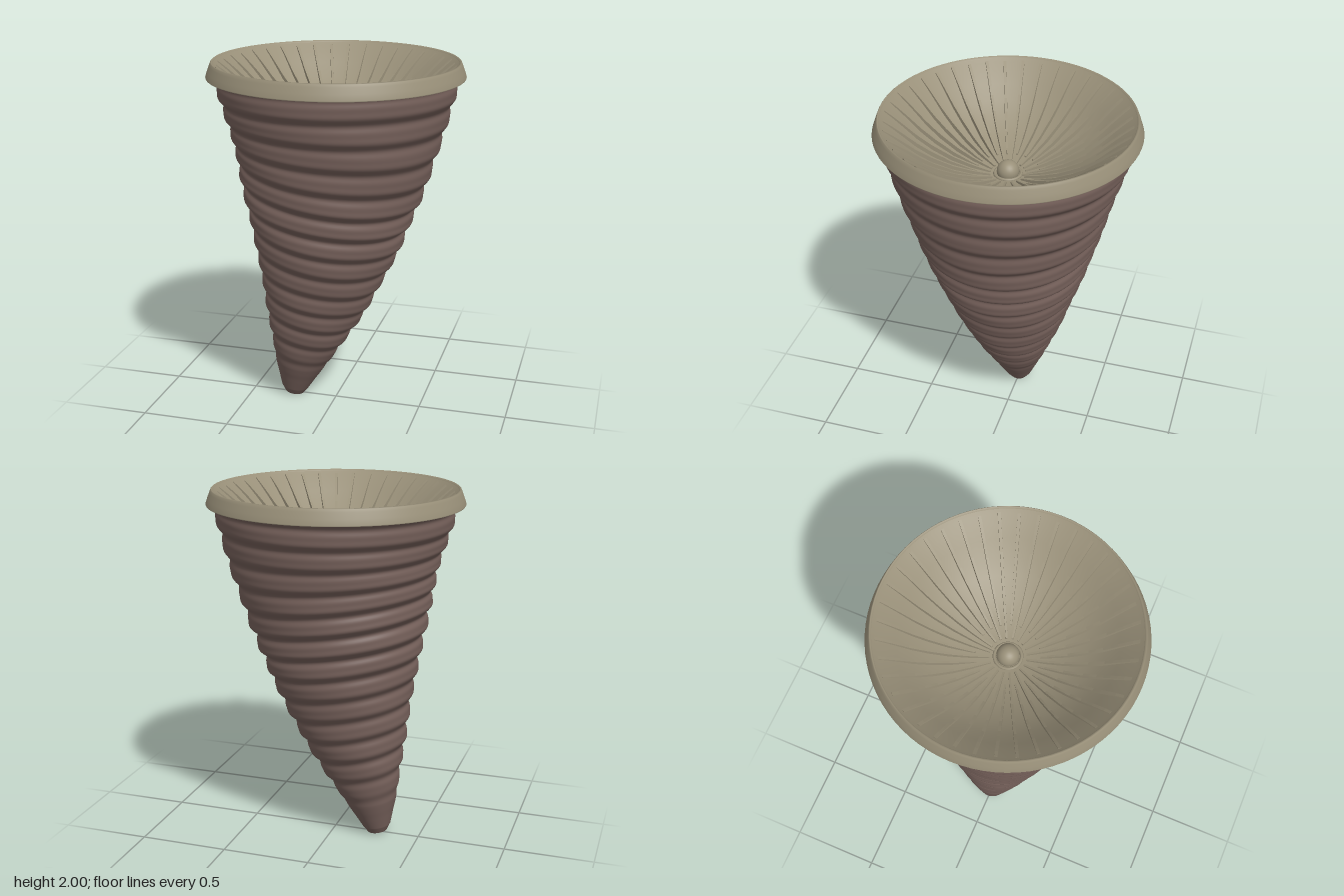
import * as THREE from 'three';
import { ParametricGeometry } from 'three/addons/geometries/ParametricGeometry.js';

const skin = new THREE.MeshStandardMaterial({ color: 0x75605a });
const chalk = new THREE.MeshStandardMaterial({ color: 0x999079 });

// Linear lookup in a list of [key, value...] rows
function sample(rows, key, col) {
  let i = 1;
  while (i < rows.length - 1 && rows[i][0] < key) i++;
  const a = rows[i - 1], b = rows[i];
  return THREE.MathUtils.lerp(a[col], b[col], THREE.MathUtils.clamp((key - a[0]) / (b[0] - a[0]), 0, 1));
}

// Horn outline: height, axis x, radius
const HORN = [
  [0, -0.255, 0.055], [0.04, -0.25, 0.08], [0.2, -0.215, 0.145], [0.4, -0.165, 0.217],
  [0.6, -0.12, 0.288], [0.8, -0.085, 0.35], [1, -0.057, 0.412], [1.2, -0.042, 0.468],
  [1.4, -0.018, 0.522], [1.6, 0, 0.577], [1.8, 0.003, 0.634], [1.93, 0.005, 0.668],
];

// Wrinkled, bent horn with growth rings square to its leaning axis
function hornPoint(u, v, target) {
  const a = u * Math.PI * 2;
  const t = Math.max(0, (v - 0.01) / 0.99);
  const h = t * 1.93;
  const fade = THREE.MathUtils.smoothstep(h, 0.08, 0.5);
  const phase = h * Math.PI * 2 / 0.128 + 0.5 * Math.sin(a + h * 3);
  const ripple = Math.sin(phase) + 0.3 * Math.sin(2 * phase + 0.6);
  const strong = 0.009 + 0.004 * Math.exp(-(((h - 1.2) / 0.2) ** 2));
  const lumps = 0.003 * Math.sin(3 * a + h * 7) * Math.sin(h * 9 + a);
  let r = sample(HORN, h, 2) + fade * (strong * ripple + lumps);
  if (v < 0.005) r = 0;
  const tilt = 0.16 * (1 - THREE.MathUtils.smoothstep(h, 1.2, 1.9));
  const dx = r * Math.cos(a);
  const lift = 0.01 * (1 - t);
  target.set(sample(HORN, h, 1) + dx, Math.max(0, h + lift - tilt * dx), -r * Math.sin(a));
}

// Bowl of the cup: radius, height
const BOWL = [
  [0, 1.645], [0.1, 1.65], [0.2, 1.672], [0.3, 1.708], [0.4, 1.765],
  [0.48, 1.825], [0.55, 1.892], [0.6, 1.938], [0.64, 1.972], [0.66, 1.99],
];
const bowlY = (r) => sample(BOWL, r, 1);

function lathe(name, points) {
  const g = new THREE.LatheGeometry(points.map(([x, y]) => new THREE.Vector2(x, y)), 80);
  const mesh = new THREE.Mesh(g, chalk);
  mesh.name = name;
  return mesh;
}

// Thin radial blade following the bowl, tapering to both ends
function septumGeometry(inner, outer) {
  const g = new THREE.BoxGeometry(1, 1, 1, 14, 1, 1).toNonIndexed();
  const p = g.attributes.position;
  for (let i = 0; i < p.count; i++) {
    const s = p.getX(i) + 0.5;
    const r = THREE.MathUtils.lerp(inner, outer, s);
    const top = p.getY(i) > 0;
    const height = 0.006 + 0.02 * Math.sin(Math.PI * Math.min(1, s * 0.95 + 0.04));
    const width = THREE.MathUtils.lerp(0.012, 0.02, s) * (top ? 0.8 : 1);
    p.setXYZ(i, r, bowlY(r) + (top ? height : -0.02), p.getZ(i) * width);
  }
  g.computeVertexNormals();
  return g;
}

export function createModel() {
  const model = new THREE.Group();
  model.name = 'hornCoral';

  const horn = new THREE.Mesh(new ParametricGeometry(hornPoint, 72, 260), skin);
  horn.name = 'horn';
  model.add(horn);

  // Flared collar with a rounded top edge
  const collar = lathe('collar', [
    [0.63, 1.915], [0.698, 1.915], [0.698, 1.915], [0.7, 1.92], [0.69, 1.95], [0.678, 1.982],
    [0.672, 1.996], [0.667, 2], [0.66, 1.99], [0.65, 1.978],
  ]);
  model.add(collar);

  // Inside of the cup, drawn from rim to centre so it faces up
  const bowl = lathe('bowl', [...BOWL].reverse());
  model.add(bowl);

  // Forty septa, alternately long and short
  const septa = new THREE.Group();
  septa.name = 'septa';
  const long = septumGeometry(0.095, 0.645);
  const short = septumGeometry(0.165, 0.64);
  for (let i = 0; i < 40; i++) {
    const blade = new THREE.Mesh(i % 2 ? long : short, chalk);
    blade.name = 'septum';
    blade.rotation.y = (i / 40) * Math.PI * 2;
    septa.add(blade);
  }
  const main = new THREE.Mesh(septumGeometry(0.075, 0.645), chalk);
  main.name = 'mainSeptum';
  main.rotation.y = Math.PI / 2;
  septa.add(main);
  model.add(septa);

  // Central knob and the low ring round it
  const knob = new THREE.Mesh(new THREE.SphereGeometry(0.06, 28, 18), chalk);
  knob.name = 'centralKnob';
  knob.position.y = 1.665;
  model.add(knob);
  const ring = new THREE.Mesh(new THREE.TorusGeometry(0.07, 0.009, 8, 40), chalk);
  ring.name = 'knobRing';
  ring.rotation.x = Math.PI / 2;
  ring.position.y = 1.65;
  model.add(ring);

  return model;
}
